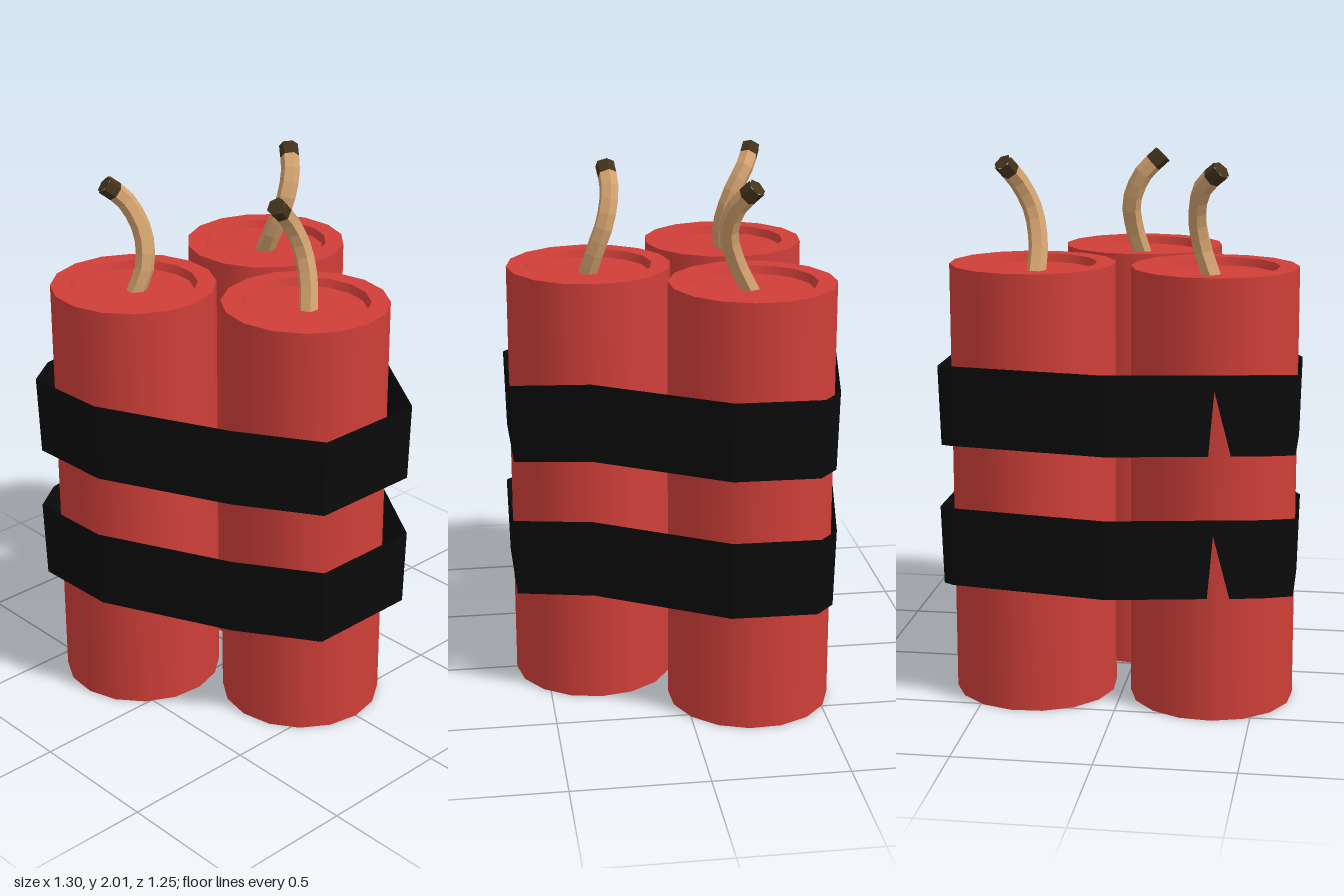
import * as THREE from 'three';

const V = (x, y, z) => new THREE.Vector3(x, y, z);
const material = (name, color, extra = {}) =>
  Object.assign(new THREE.MeshStandardMaterial({ color, ...extra }), { name });

const red = material('red paper', 0xd03f39, { side: THREE.DoubleSide });
const black = material('black tape', 0x0b0b0b, { side: THREE.DoubleSide, flatShading: true });
const tan = material('tan cord', 0xd5a470, { flatShading: true });
const char = material('charred cord', 0x44331b, { flatShading: true });

// Paper tube with an open foot and a recessed lid; one lathe per profile edge keeps the rims crisp
function makeStick(x, z, turn) {
  const group = new THREE.Group();
  group.name = 'stick';
  const profile = [[0.304, 0], [0.304, 1.62], [0.235, 1.62], [0.224, 1.59], [0, 1.59]];
  const names = ['stickWall', 'stickRim', 'lidRecess', 'stickLid'];
  names.forEach((name, i) => {
    const edge = [profile[i], profile[i + 1]].map(([r, y]) => new THREE.Vector2(r, y));
    const mesh = new THREE.Mesh(new THREE.LatheGeometry(edge, 16), red);
    mesh.name = name;
    group.add(mesh);
  });
  group.position.set(x, 0, z);
  group.rotation.y = turn;
  return group;
}

// Curved six-sided cord whose last segment and end are charred
function makeFuse(points) {
  const group = new THREE.Group();
  group.name = 'fuse';
  const curve = new THREE.CatmullRomCurve3(points.map((p) => V(...p)));
  const segments = 9, sides = 6, radius = 0.036;
  const tube = new THREE.TubeGeometry(curve, segments, radius, sides);
  const perSegment = sides * 6;
  tube.addGroup(0, perSegment * (segments - 1), 0);
  tube.addGroup(perSegment * (segments - 1), perSegment, 1);
  const cord = new THREE.Mesh(tube, [tan, char]);
  cord.name = 'fuseCord';
  const end = new THREE.Mesh(new THREE.CircleGeometry(radius, sides), char);
  end.name = 'fuseEnd';
  end.position.copy(curve.getPointAt(1));
  end.quaternion.setFromUnitVectors(V(0, 0, 1), curve.getTangentAt(1));
  group.add(cord, end);
  return group;
}

// Tape outline: x, z and height of the lower edge at each corner
const outline = [
  [0.015, -0.626, 0.99], [-0.54, -0.513, 0.985], [-0.652, -0.44, 0.975], [-0.646, -0.11, 0.975],
  [-0.42, 0.37, 0.97], [-0.2, 0.625, 0.942], [0.24, 0.625, 0.942], [0.4, 0.345, 0.985],
  [0.648, -0.13, 0.973], [0.65, -0.45, 0.972], [0.602, -0.515, 0.985],
];

// Thin loop of tape, slightly wider at its upper edge
function makeBand(drop) {
  const position = [], index = [], n = outline.length;
  outline.forEach(([x, z, y], i) => {
    position.push(x * 0.988, y - drop, z * 0.988, x, y - drop + 0.294, z);
    const a = 2 * i, b = 2 * ((i + 1) % n);
    index.push(a, a + 1, b, b, a + 1, b + 1);
  });
  const geometry = new THREE.BufferGeometry();
  geometry.setAttribute('position', new THREE.Float32BufferAttribute(position, 3));
  geometry.setIndex(index);
  geometry.computeVertexNormals();
  const mesh = new THREE.Mesh(geometry, black);
  mesh.name = 'tapeBand';
  return mesh;
}

export function createModel() {
  const model = new THREE.Group();
  model.name = 'stickBundle';

  // Three sticks in a triangle
  model.add(makeStick(-0.333, -0.245, 0.1), makeStick(0.335, -0.245, 0.25), makeStick(0, 0.311, 0));

  // Fuses rising from the lids
  model.add(
    makeFuse([[-0.325, 1.57, -0.25], [-0.285, 1.68, -0.235], [-0.268, 1.8, -0.265], [-0.295, 1.91, -0.325], [-0.362, 1.975, -0.36]]),
    makeFuse([[0.325, 1.57, -0.245], [0.325, 1.68, -0.19], [0.35, 1.8, -0.153], [0.395, 1.9, -0.172], [0.445, 1.98, -0.235]]),
    makeFuse([[0.005, 1.57, 0.32], [0.035, 1.68, 0.288], [0.042, 1.79, 0.25], [-0.005, 1.9, 0.23], [-0.08, 1.975, 0.238]]),
  );

  // Two tape bands around the bundle
  model.add(makeBand(0), makeBand(0.525));
  return model;
}
